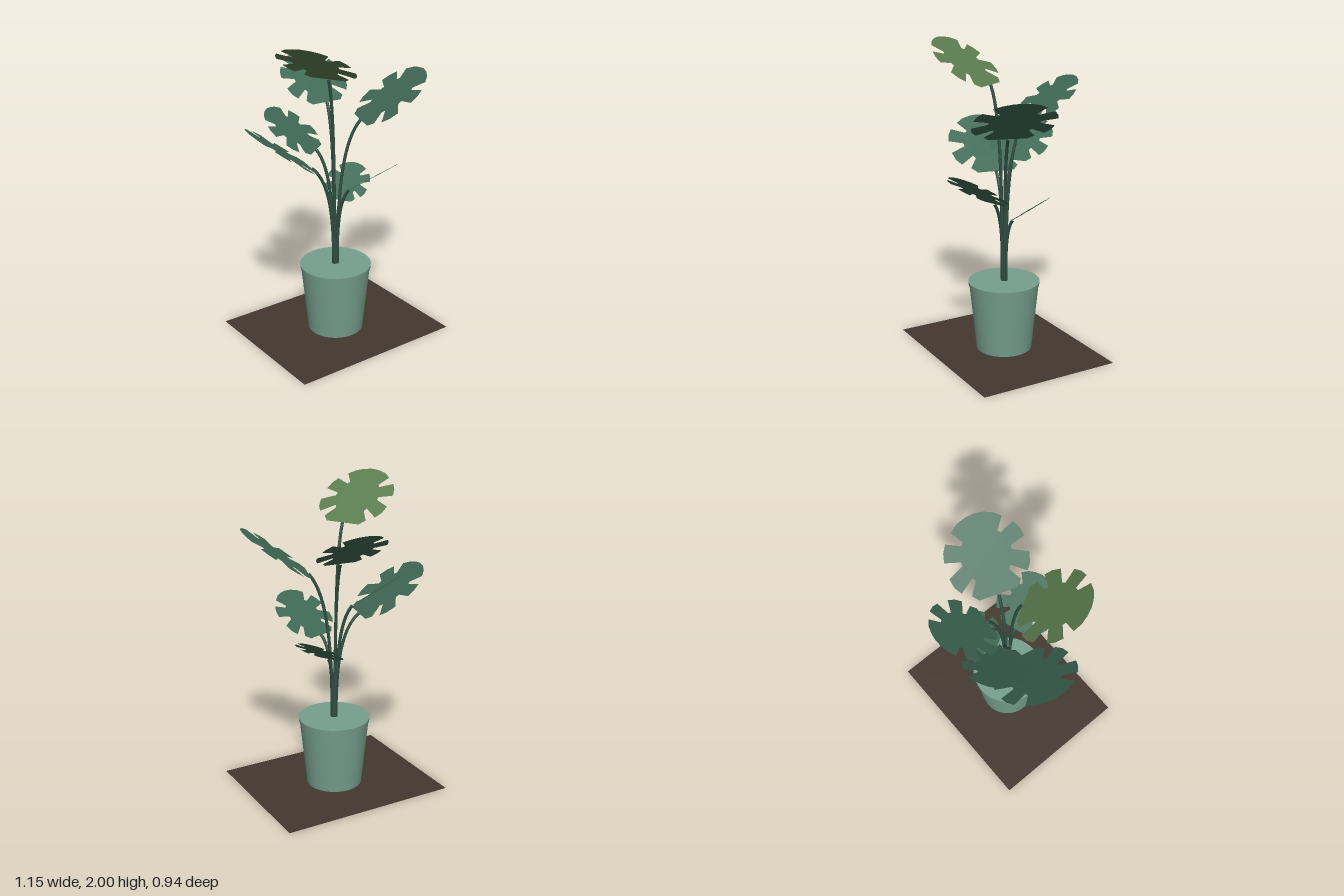
import * as THREE from 'three';

const mat = (name, color, side = THREE.FrontSide) => {
  const m = new THREE.MeshStandardMaterial({ color, side });
  m.name = name;
  return m;
};

// Half outline of a split leaf, unit size: base at y = 0, tip at y = 1
const HALF = [
  [0.24, 0], [0.31, 0.08], [0.21, 0.24], [0.235, 0.285],          // base and lowest slot
  [0.415, 0.15], [0.475, 0.24], [0.5, 0.36],                      // lower lobe
  [0.31, 0.455], [0.31, 0.505],                                   // middle slot
  [0.5, 0.56], [0.475, 0.67], [0.42, 0.765],                      // upper lobe
  [0.245, 0.685], [0.215, 0.72],                                  // upper slot
  [0.315, 0.87], [0.22, 0.945], [0.11, 0.985],                    // tip lobe
];

function leafGeometry() {
  const outline = [
    ...HALF,
    [0, 1],
    ...HALF.map(([x, y]) => [-x, y]).reverse(),
  ];
  return new THREE.ShapeGeometry(new THREE.Shape(outline.map(([x, y]) => new THREE.Vector2(x, y))));
}

// Each leaf: base point, compass direction (degrees, from +x towards +z), size
const LEAVES = [
  { name: 'youngTopLeaf', base: [-0.085, 1.727, 0.045], dir: 150, size: 0.47, young: true },
  { name: 'backUpperLeaf', base: [0.03, 1.52, -0.13], dir: -86, size: 0.425 },
  { name: 'leftLargeLeaf', base: [0.15, 1.43, 0.058], dir: 19, size: 0.505 },
  { name: 'rightLargeLeaf', base: [-0.16, 1.15, -0.035], dir: 192, size: 0.505 },
  { name: 'backMiddleLeaf', base: [-0.076, 1.235, -0.10], dir: 235, size: 0.405 },
  { name: 'frontLeaf', base: [0.04, 1.0, 0.095], dir: 72, size: 0.395 },
  { name: 'smallLowLeaf', base: [0.06, 0.88, -0.03], dir: -31, size: 0.3 },
];
const PITCH = 35.5;

export function createModel() {
  const model = new THREE.Group();
  model.name = 'pottedPlant';

  const leafGreen = mat('leafGreen', 0x3f6a55, THREE.DoubleSide);
  const youngGreen = mat('youngLeafGreen', 0x5a7d50, THREE.DoubleSide);
  const stemGreen = mat('stemGreen', 0x2f5042);
  const potGreen = mat('potGreen', 0x76a08d);
  const matBrown = mat('floorBrown', 0x43382f, THREE.DoubleSide);

  const add = (parent, name, geometry, material) => {
    const mesh = new THREE.Mesh(geometry, material);
    mesh.name = name;
    parent.add(mesh);
    return mesh;
  };

  // Floor sheet
  const floor = add(model, 'floorSheet', new THREE.PlaneGeometry(1.15, 0.935), matBrown);
  floor.rotation.x = -Math.PI / 2;

  // Tapered pot with a narrow rim, closed on top
  const pot = new THREE.Group();
  pot.name = 'pot';
  add(pot, 'potBody', new THREE.CylinderGeometry(0.225, 0.18, 0.44, 64), potGreen).position.y = 0.222;
  add(pot, 'potRim', new THREE.CylinderGeometry(0.231, 0.229, 0.022, 64), potGreen).position.y = 0.451;
  model.add(pot);

  // Leaves, each on its own arching stem
  const leafShape = leafGeometry();
  for (const { name, base, dir, size, young } of LEAVES) {
    const plantPart = new THREE.Group();
    plantPart.name = name + 'Group';
    const a = THREE.MathUtils.degToRad(dir);
    const dx = Math.cos(a), dz = Math.sin(a);

    const leaf = add(plantPart, name, leafShape, young ? youngGreen : leafGreen);
    leaf.position.set(...base);
    leaf.rotation.order = 'YXZ';
    leaf.rotation.x = THREE.MathUtils.degToRad(PITCH - 90);
    leaf.rotation.y = Math.atan2(-dx, -dz);
    leaf.scale.setScalar(size);

    // Stem rises almost straight, then bends out to the leaf base
    const [bx, by, bz] = base;
    const rise = by - 0.45;
    const path = new THREE.CubicBezierCurve3(
      new THREE.Vector3(dx * 0.013, 0.45, dz * 0.013),
      new THREE.Vector3(dx * 0.014, 0.45 + rise * 0.45, dz * 0.014),
      new THREE.Vector3(bx * 0.2, 0.45 + rise * 0.85, bz * 0.2),
      new THREE.Vector3(bx, by, bz),
    );
    add(plantPart, name + 'Stem', new THREE.TubeGeometry(path, 28, 0.01, 10), stemGreen);
    model.add(plantPart);
  }

  return model;
}
